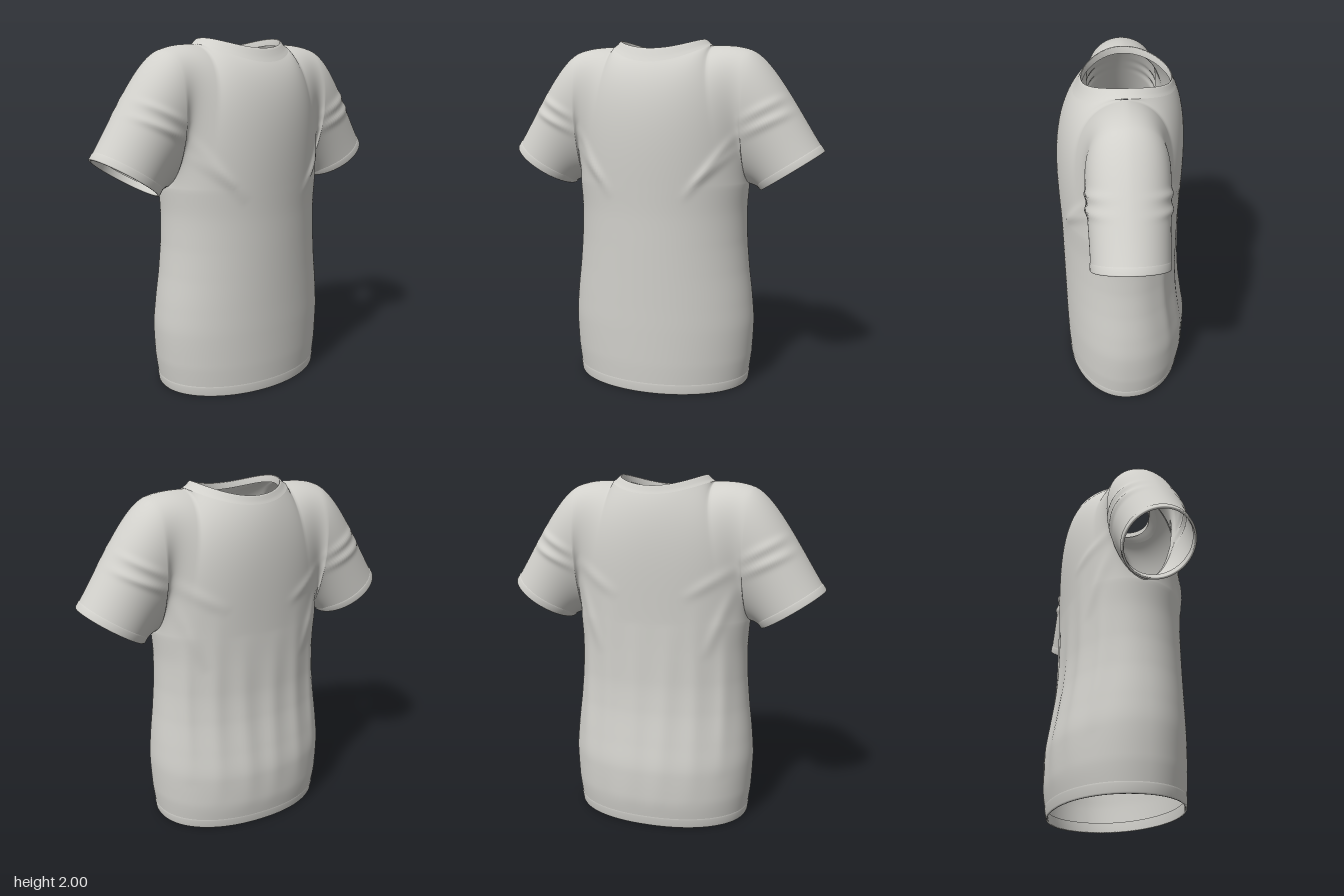
import * as THREE from 'three';
import { mergeGeometries, mergeVertices } from 'three/addons/utils/BufferGeometryUtils.js';

const { lerp } = THREE.MathUtils;
const V = (x, y, z) => new THREE.Vector3(x, y, z);
const N = 36;            // columns per quarter of the body
const ROWS = 50;         // rows of the chest panels
const ARMPIT = 1.19;

// Surface through f(u, v), u and v in 0..1, facing along du x dv
function grid(nu, nv, f) {
  const pos = [], idx = [];
  for (let j = 0; j <= nv; j++)
    for (let i = 0; i <= nu; i++) pos.push(...f(i / nu, j / nv).toArray());
  for (let j = 0; j < nv; j++)
    for (let i = 0; i < nu; i++) {
      const a = j * (nu + 1) + i, b = a + nu + 1;
      idx.push(a, a + 1, b + 1, a, b + 1, b);
    }
  const g = new THREE.BufferGeometry();
  g.setAttribute('position', new THREE.Float32BufferAttribute(pos, 3));
  g.setIndex(idx);
  return g;
}

function smooth(geometries) {
  const g = mergeVertices(mergeGeometries(geometries), 1e-4);
  g.computeVertexNormals();
  return g;
}

// Point on a cubic curve
function bezier(a, b, c, d, t) {
  const s = 1 - t;
  return V(0, 0, 0).addScaledVector(a, s * s * s).addScaledVector(b, 3 * s * s * t)
    .addScaledVector(c, 3 * s * t * t).addScaledVector(d, t * t * t);
}

// Torso levels from hem to armpit, evenly spaced: half width, front depth, back depth
const levels = new THREE.CatmullRomCurve3([
  V(.52, .36, .352), V(.542, .368, .376), V(.55, .37, .374), V(.54, .37, .348),
  V(.52, .37, .322), V(.505, .37, .31), V(.5, .37, .31), V(.51, .375, .312)]);

function torsoPoint(angle, v, scale = 1) {
  const l = levels.getPoint(v), s = Math.sin(angle), c = Math.cos(angle);
  const power = c > 0 ? 1 : .92;
  const x = Math.sign(s) * Math.abs(s) ** power * l.x;
  const z = Math.sign(c) * Math.abs(c) ** power * (c > 0 ? l.y : l.z);
  return V(x * scale, v * ARMPIT, z * scale);
}

// Outer seam of the collar
function neckSeam(a) {
  const c = Math.cos(a);
  return V(.295 * Math.sin(a), 1.965 - (c > 0 ? .095 : .065) * c * c, .27 * c);
}

// Chest (side 1) or upper back (side -1); u runs -1..1 from armhole to armhole
function panelPoint(side, u, v) {
  const w = Math.abs(u), front = side > 0;
  const B = torsoPoint(front ? u * Math.PI / 2 : Math.PI - u * Math.PI / 2, 1);
  const a = Math.min(w / .55, 1) * Math.PI / 2;
  const T = neckSeam(front ? a : Math.PI - a);
  if (w > .55) {
    const t = (w - .55) / .45;
    T.set(lerp(.295, .52, t), 1.965 - .03 * t ** 3, 0);
  }
  T.x *= Math.sign(u);
  const c = Math.max(Math.cos(w * Math.PI / 2), 0);
  const C1 = V(B.x * lerp(1, .92, w), lerp(1.25, 1.45, Math.sqrt(c)),
    side * Math.hypot(B.z * 1.025, .22 * w ** 3));
  const C2 = V(.49 * u, lerp(1.935, 1.72, c ** 4), side * lerp(.34, front ? .39 : .35, c));
  return bezier(B, C1, C2, T, v);
}

// Sleeve opening: angle 0 is the top, positive to the front
const axis = V(.55, -.835, 0);
function cuffPoint(a, scale = 1, along = 0) {
  const c = Math.cos(a) * scale;
  return V(.755 + .175 * c, 1.267 + .113 * c, -.005 + .2 * Math.sin(a) * scale)
    .addScaledVector(axis, along);
}

// Left sleeve: runs up the back, over the top and down the front
function sleevePoint(u, v) {
  const a = (u * 2 - 1) * Math.PI;
  const A = panelPoint(a < 0 ? -1 : 1, 1, 1 - Math.abs(u * 2 - 1));
  const C = cuffPoint(a), len = A.distanceTo(C);
  const C1 = A.clone().addScaledVector(V(.91, -.41, 0), .2 * len);
  const C2 = C.clone().addScaledVector(axis, -.37 * len);
  return bezier(A, C1, C2, C, v);
}
const mirrored = f => (u, v) => f(1 - u, v).multiply(V(-1, 1, 1));

// Cloth folds: x1, y1, x2, y2, width, height, which side (1 front, -1 back, 0 both)
const folds = [
  [.46, 1.46, .84, 1.64, .022, .013, 0], [.46, 1.54, .80, 1.72, .022, .012, 0],
  [.48, 1.50, .20, 1.12, .022, .012, 1], [.47, 1.40, .26, 1.20, .022, .010, 1],
  [.48, 1.52, .18, 1.34, .03, .008, -1], [.46, 1.42, .30, 1.00, .03, .010, -1],
  [.42, .30, .40, 1.25, .035, .012, -1], [.27, .15, .25, 1.35, .045, .010, -1],
  [.08, .10, .10, 1.20, .05, .010, -1],
];
function addFolds(g) {
  const p = g.attributes.position, q = V(0, 0, 0), near = V(0, 0, 0);
  const lines = folds.map(f => new THREE.Line3(V(f[0], f[1], 0), V(f[2], f[3], 0)));
  for (let i = 0; i < p.count; i++) {
    const z = p.getZ(i);
    q.set(Math.abs(p.getX(i)), p.getY(i), 0);
    let lift = 0;
    folds.forEach(([, , , , width, height, side], n) => {
      if (side * z < 0) return;
      const t = lines[n].closestPointToPointParameter(q, true);
      lines[n].at(t, near);
      // Each fold fades out towards both ends
      lift += height * Math.sin(Math.PI * t) * Math.exp(-((q.distanceTo(near) / width) ** 2));
    });
    p.setZ(i, z + lift * THREE.MathUtils.clamp(z / .15, -1, 1));
  }
  return g;
}

// Strip swept round an opening through a list of cross-section points
const band = (section, f) => smooth([
  grid(4 * N, section.length - 1, (u, v) => f(u, section[Math.round(v * (section.length - 1))]))]);

export function createModel() {
  const shirt = new THREE.Group();
  shirt.name = 'shirt';
  const fabric = new THREE.MeshStandardMaterial({ color: 0xd1d0cb, side: THREE.DoubleSide });
  fabric.name = 'light grey fabric';
  const add = (name, geometry) => {
    const m = new THREE.Mesh(geometry, fabric);
    m.name = name;
    shirt.add(m);
    return m;
  };

  // Torso, chest, back and sleeves share one smooth skin
  add('body', smooth([
    grid(4 * N, 56, (u, v) => torsoPoint((u * 4 - 1) * Math.PI / 2, v)),
    grid(2 * N, ROWS, (u, v) => panelPoint(1, u * 2 - 1, v)),
    grid(2 * N, ROWS, (u, v) => panelPoint(-1, 1 - u * 2, v)),
    grid(2 * ROWS, 56, sleevePoint),
    grid(2 * ROWS, 56, mirrored(sleevePoint)),
  ].map(addFolds)));

  // Collar: from the seam up to the rim, then a lip inside (blend, lift)
  const collar = [[0, 0], [.25, -.002], [.5, -.003], [.8, 0], [1, 0], [1.04, -.004], [1.06, -.04]];
  add('collar', band(collar, (u, [t, lift]) => {
    const a = u * Math.PI * 2, c = Math.cos(a);
    const rim = V(.25 * Math.sin(a), 2 - .055 * c * c, (c > 0 ? .228 : .25) * c);
    const p = neckSeam(a).lerp(rim, Math.min(t, 1));
    const r = 1 - Math.max(t - 1, 0) * .5;
    return V(p.x * r, p.y + lift, p.z * r);
  }));

  // Hem: turned edge with a stitched step (scale, height)
  const hem = [[.975, .06], [.975, .004], [.985, 0], [1, 0], [1.006, .008], [1.006, .05], [.999, .06]];
  add('hem', band(hem, (u, [s, y]) => torsoPoint(u * Math.PI * 2, y / ARMPIT, s)));

  // Cuffs (scale, distance along the sleeve)
  const cuff = [[1, -.045], [1.015, -.038], [1.015, -.006], [1, 0], [.96, 0], [.95, -.006], [.95, -.04]];
  const left = add('leftCuff', band(cuff, (u, [s, d]) => cuffPoint(u * Math.PI * 2, s, d)));
  const right = add('rightCuff', left.geometry.clone());
  right.scale.x = -1;

  return shirt;
}
